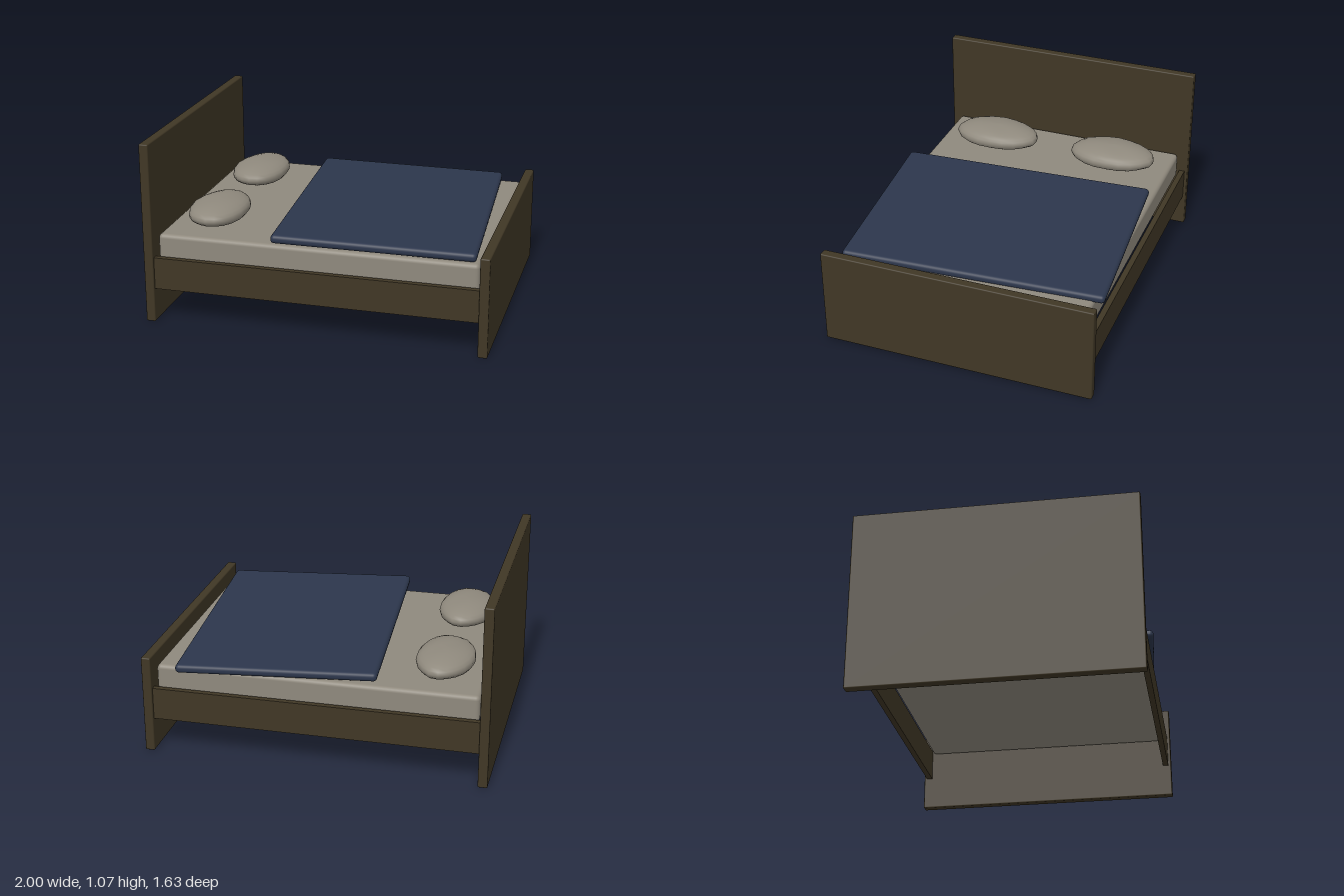
import * as THREE from 'three';
import { RoundedBoxGeometry } from 'three/addons/geometries/RoundedBoxGeometry.js';

const wood = new THREE.MeshStandardMaterial({ color: 0x403725 });
wood.name = 'darkWood';
const linen = new THREE.MeshStandardMaterial({ color: 0x8f897d });
linen.name = 'linen';
const navy = new THREE.MeshStandardMaterial({ color: 0x2c364c });
navy.name = 'navyCloth';

// Box with softened edges, given by its lower and upper limits
function softBox(name, material, min, max, radius) {
  const size = max.map((v, i) => v - min[i]);
  const mesh = new THREE.Mesh(new RoundedBoxGeometry(...size, 3, radius), material);
  mesh.position.set(...max.map((v, i) => (v + min[i]) / 2));
  mesh.name = name;
  return mesh;
}

// Plump oval cushion with a flattened underside and slight creases
function pillowGeometry() {
  const geo = new THREE.SphereGeometry(1, 20, 14);
  const pos = geo.attributes.position;
  const p = new THREE.Vector3();
  for (let i = 0; i < pos.count; i++) {
    p.fromBufferAttribute(pos, i);
    const wobble = 1 + 0.025 * Math.sin(5 * p.x + 3 * p.z) * Math.cos(4 * p.z - 2 * p.y);
    const y = p.y < 0 ? -0.065 * Math.pow(-p.y, 0.8) : 0.068 * Math.pow(p.y, 0.9);
    pos.setXYZ(i, 0.168 * p.x * wobble, y * wobble, 0.268 * p.z * wobble);
  }
  geo.computeVertexNormals();
  // Join the shading across the sphere's seam
  const normal = geo.attributes.normal;
  for (let row = 0; row <= 14; row++) {
    const a = row * 21, b = a + 20;
    p.fromBufferAttribute(normal, a);
    p.x += normal.getX(b); p.y += normal.getY(b); p.z += normal.getZ(b);
    p.normalize();
    normal.setXYZ(a, p.x, p.y, p.z);
    normal.setXYZ(b, p.x, p.y, p.z);
  }
  return geo;
}

export function createModel() {
  const bed = new THREE.Group();
  bed.name = 'bed';

  // Wooden frame
  bed.add(softBox('headboard', wood, [-1, 0, -0.813], [-0.945, 1.07, 0.813], 0.008));
  bed.add(softBox('footboard', wood, [0.945, 0, -0.813], [1, 0.583, 0.813], 0.008));
  for (const side of [-1, 1]) {
    const rail = new THREE.Mesh(new THREE.BoxGeometry(1.9, 0.19, 0.034), wood);
    rail.position.set(0, 0.295, side * 0.778);
    rail.name = side > 0 ? 'frontRail' : 'backRail';
    bed.add(rail);
  }

  // Mattress
  bed.add(softBox('mattress', linen, [-0.932, 0.36, -0.75], [0.932, 0.52, 0.75], 0.025));

  // Pillows
  const pillowShape = pillowGeometry();
  for (const side of [-1, 1]) {
    const pillow = new THREE.Mesh(pillowShape, linen);
    pillow.position.set(-0.68, 0.581, side * 0.388);
    pillow.name = side > 0 ? 'frontPillow' : 'backPillow';
    bed.add(pillow);
  }

  // Blanket, laid askew and slightly tilted
  const blanket = new THREE.Mesh(new RoundedBoxGeometry(1.155, 0.05, 1.537, 3, 0.022), navy);
  blanket.position.set(0.28, 0.552, 0);
  blanket.rotation.set(-0.01, 0.071, -0.026, 'YXZ');
  blanket.name = 'blanket';
  bed.add(blanket);

  return bed;
}
